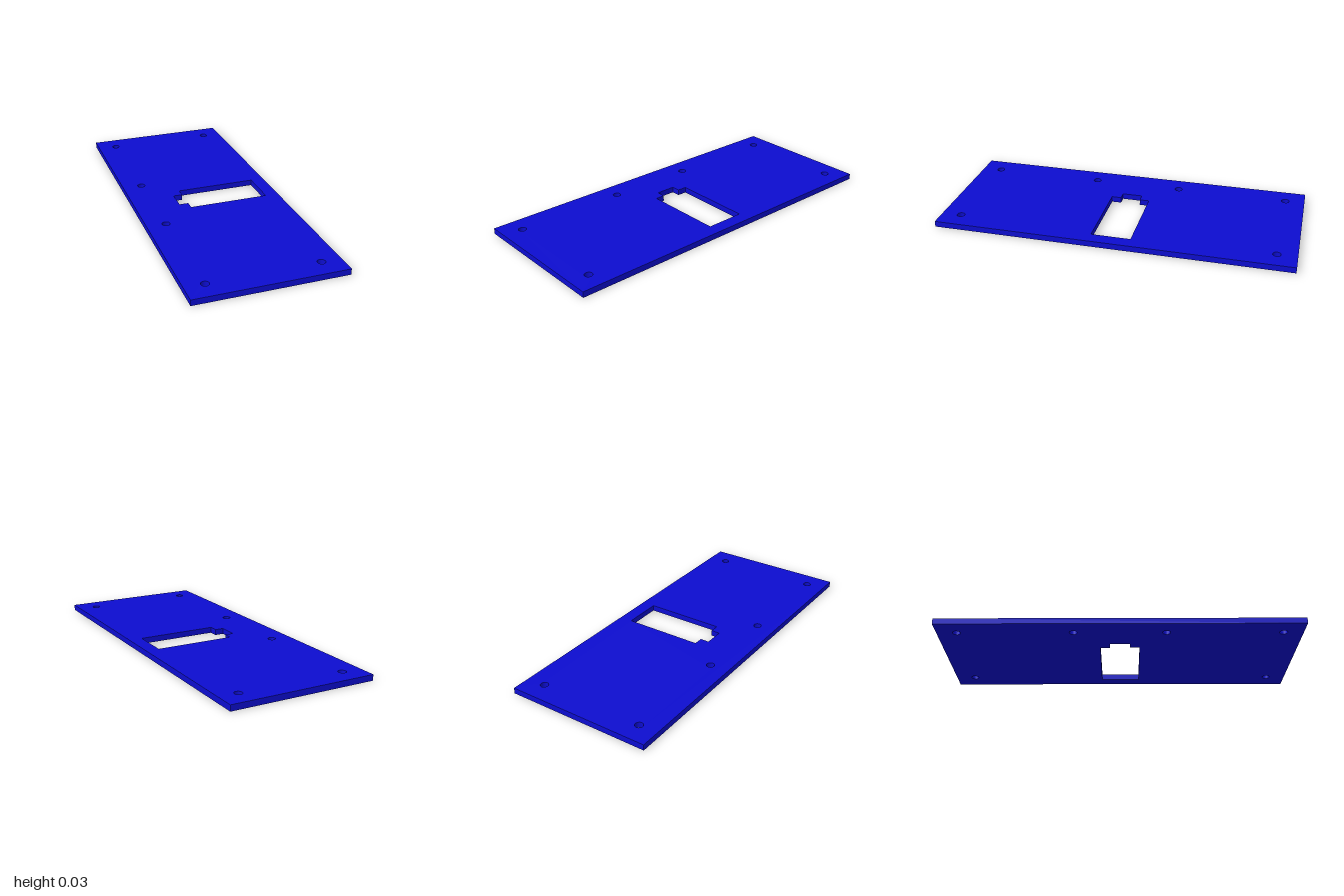
import * as THREE from 'three';

const HALF_W = 0.415, HALF_L = 1, THICK = 0.033, HOLE_R = 0.022;

function polygon(PathType, points) {
  return new PathType(points.map(([x, y]) => new THREE.Vector2(x, y)));
}

export function createModel() {
  const group = new THREE.Group();
  group.name = 'mountingPlate';
  const material = new THREE.MeshStandardMaterial({ color: 0x0d0dd0 });

  // Plate outline
  const outline = polygon(THREE.Shape, [
    [-HALF_W, -HALF_L], [HALF_W, -HALF_L], [HALF_W, HALF_L], [-HALF_W, HALF_L],
  ]);

  // Rectangular window with a narrow notch on one end
  outline.holes.push(polygon(THREE.Path, [
    [0.34, -0.111], [-0.115, -0.111], [-0.115, -0.057], [-0.166, -0.057],
    [-0.166, 0.057], [-0.115, 0.057], [-0.115, 0.111], [0.34, 0.111],
  ]));

  // Screw holes, mirrored front to back
  for (const [x, z] of [[-0.306, 0.89], [0.306, 0.89], [-0.306, 0.254]]) {
    for (const side of [-1, 1]) {
      outline.holes.push(new THREE.Path().absarc(x, side * z, HOLE_R, 0, Math.PI * 2, true));
    }
  }

  // Extrude upward and lay flat on the ground
  const geometry = new THREE.ExtrudeGeometry(outline, {
    depth: THICK, bevelEnabled: false, curveSegments: 24,
  });
  geometry.rotateX(-Math.PI / 2);

  const plate = new THREE.Mesh(geometry, material);
  plate.name = 'plate';
  group.add(plate);
  return group;
}
